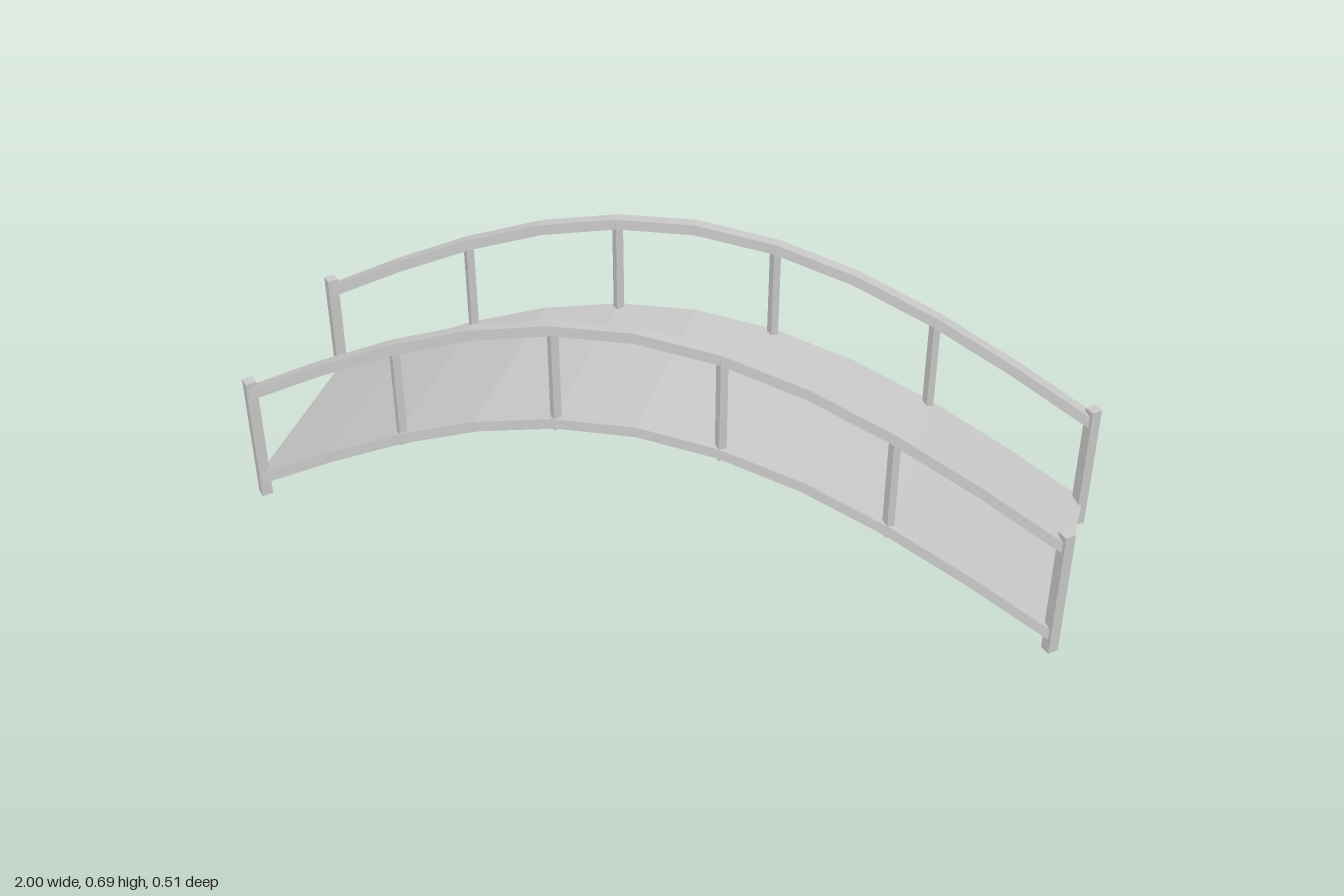
import * as THREE from 'three';

const STEP = 0.1962;            // spacing of the arch points along x
const SIDE_Z = 0.2355;          // centre line of each railing
const BAR = 0.027;              // thickness of deck and handrails
const RAIL_LIFT = 0.258;        // handrail height above the deck
const HALF_ARCH = [0.4135, 0.395, 0.344, 0.264, 0.163, 0.05];

const archY = (i) => HALF_ARCH[Math.abs(i)];

// Faceted arch of constant thickness, extruded along z
function archGeometry(width) {
  const pts = [];
  for (let i = -5; i <= 5; i++) pts.push(new THREE.Vector2(i * STEP, archY(i)));
  const upper = [], lower = [];
  pts.forEach((p, i) => {
    const d0 = p.clone().sub(pts[i - 1] ?? p).normalize();
    const d1 = (pts[i + 1] ?? p).clone().sub(p).normalize();
    const dir = d0.add(d1).normalize();
    const n = new THREE.Vector2(-dir.y, dir.x).multiplyScalar(BAR / 2);
    upper.push(p.clone().add(n));
    lower.push(p.clone().sub(n));
  });
  const shape = new THREE.Shape([...lower, ...upper.reverse()]);
  const geo = new THREE.ExtrudeGeometry(shape, { depth: width, bevelEnabled: false });
  return geo.translate(0, 0, -width / 2);
}

export function createModel() {
  const bridge = new THREE.Group();
  bridge.name = 'footbridge';
  const grey = new THREE.MeshStandardMaterial({ color: 0xcccccc });
  grey.name = 'plain grey';

  const add = (name, geo, x, y, z) => {
    const mesh = new THREE.Mesh(geo, grey);
    mesh.name = name;
    mesh.position.set(x, y, z);
    bridge.add(mesh);
  };

  // Square post turned corner-on
  const addPost = (name, radius, x, bottom, top, z) => {
    const geo = new THREE.CylinderGeometry(radius, radius, top - bottom, 4).toNonIndexed();
    geo.computeVertexNormals();
    add(name, geo, x, (bottom + top) / 2, z);
  };

  add('deck', archGeometry(2 * SIDE_Z + BAR), 0, 0, 0);

  for (const side of [1, -1]) {
    const z = side * SIDE_Z;
    const label = side > 0 ? 'front' : 'back';
    add(label + 'Handrail', archGeometry(BAR), 0, RAIL_LIFT, z);

    // Thick posts at both ends, slim balusters between
    for (const i of [-5, 5]) addPost(label + 'EndPost', 0.019, i * STEP, 0, 0.344, z);
    for (const i of [-3, -1, 1, 3]) {
      addPost(label + 'Baluster', 0.0138, i * STEP, archY(i) - 0.019, archY(i) + RAIL_LIFT + 0.005, z);
    }
  }
  return bridge;
}
